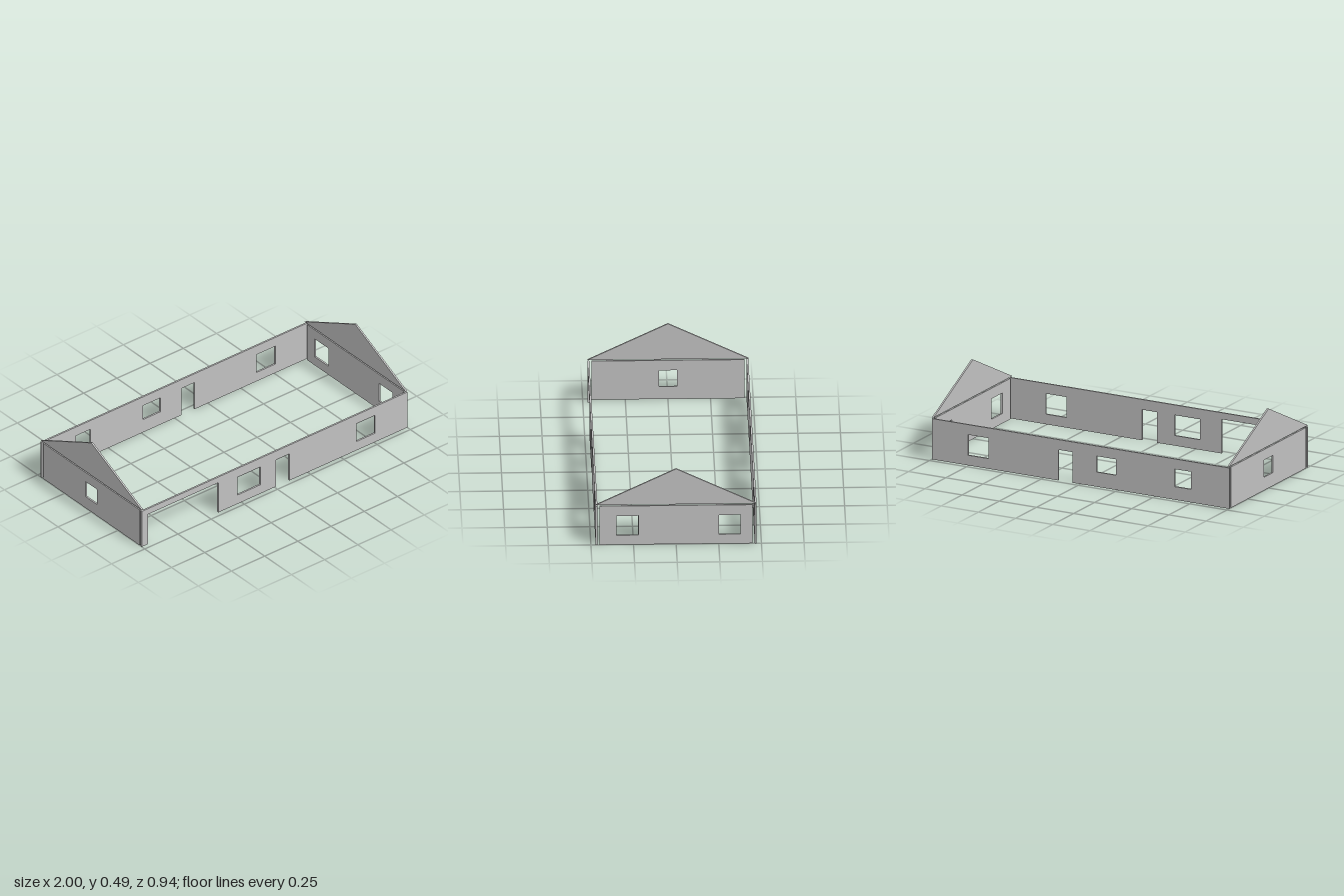
import * as THREE from 'three';

const H = 0.25;      // wall height
const T = 0.011;     // wall thickness

// Flat wall panel: doors are notches in the bottom edge, windows are holes
function panel(half, doors, windows) {
  const s = new THREE.Shape();
  s.moveTo(-half, 0);
  for (const [a, b, top] of doors) {
    s.lineTo(a, 0);
    s.lineTo(a, top);
    s.lineTo(b, top);
    s.lineTo(b, 0);
  }
  s.lineTo(half, 0);
  s.lineTo(half, H);
  s.lineTo(-half, H);
  s.closePath();
  for (const [a, b, low, high] of windows) {
    const hole = new THREE.Path();
    hole.moveTo(a, low);
    hole.lineTo(a, high);
    hole.lineTo(b, high);
    hole.lineTo(b, low);
    hole.closePath();
    s.holes.push(hole);
  }
  return s;
}

export function createModel() {
  const model = new THREE.Group();
  const wallGrey = new THREE.MeshStandardMaterial({ color: 0xc0c0c0 });
  wallGrey.name = 'wallGrey';

  const add = (name, shape) => {
    const geo = new THREE.ExtrudeGeometry(shape, { depth: T, bevelEnabled: false });
    const mesh = new THREE.Mesh(geo, wallGrey);
    mesh.name = name;
    model.add(mesh);
    return mesh;
  };

  // Long walls: the front has the garage opening, both have a door
  const front = add('frontWall', panel(1,
    [[-0.952, -0.423, 0.21], [0.01, 0.112, 0.188]],
    [[-0.278, -0.107, 0.062, 0.188], [0.618, 0.758, 0.062, 0.188]]));
  front.position.z = 0.461;

  const back = add('backWall', panel(1,
    [[0.053, 0.15, 0.188]],
    [[-0.744, -0.633, 0.08, 0.188], [-0.237, -0.107, 0.09, 0.188], [0.618, 0.758, 0.062, 0.188]]));
  back.position.z = -0.461 - T;

  // End walls, turned so the panel's x runs along -z
  const left = add('leftWall', panel(0.449, [],
    [[-0.35, -0.222, 0.06, 0.186], [0.25, 0.378, 0.06, 0.186]]));
  const right = add('rightWall', panel(0.449, [], [[-0.053, 0.053, 0.08, 0.186]]));

  // Triangular gables floating just above the end walls
  const gable = new THREE.Shape([
    new THREE.Vector2(-0.472, 0.258),
    new THREE.Vector2(0.472, 0.258),
    new THREE.Vector2(0, 0.487),
  ]);
  const leftGable = add('leftGable', gable);
  const rightGable = add('rightGable', gable);

  for (const m of [left, leftGable, right, rightGable]) m.rotation.y = Math.PI / 2;
  for (const m of [left, leftGable]) m.position.x = 0.999 - T;
  for (const m of [right, rightGable]) m.position.x = -0.999;

  return model;
}
